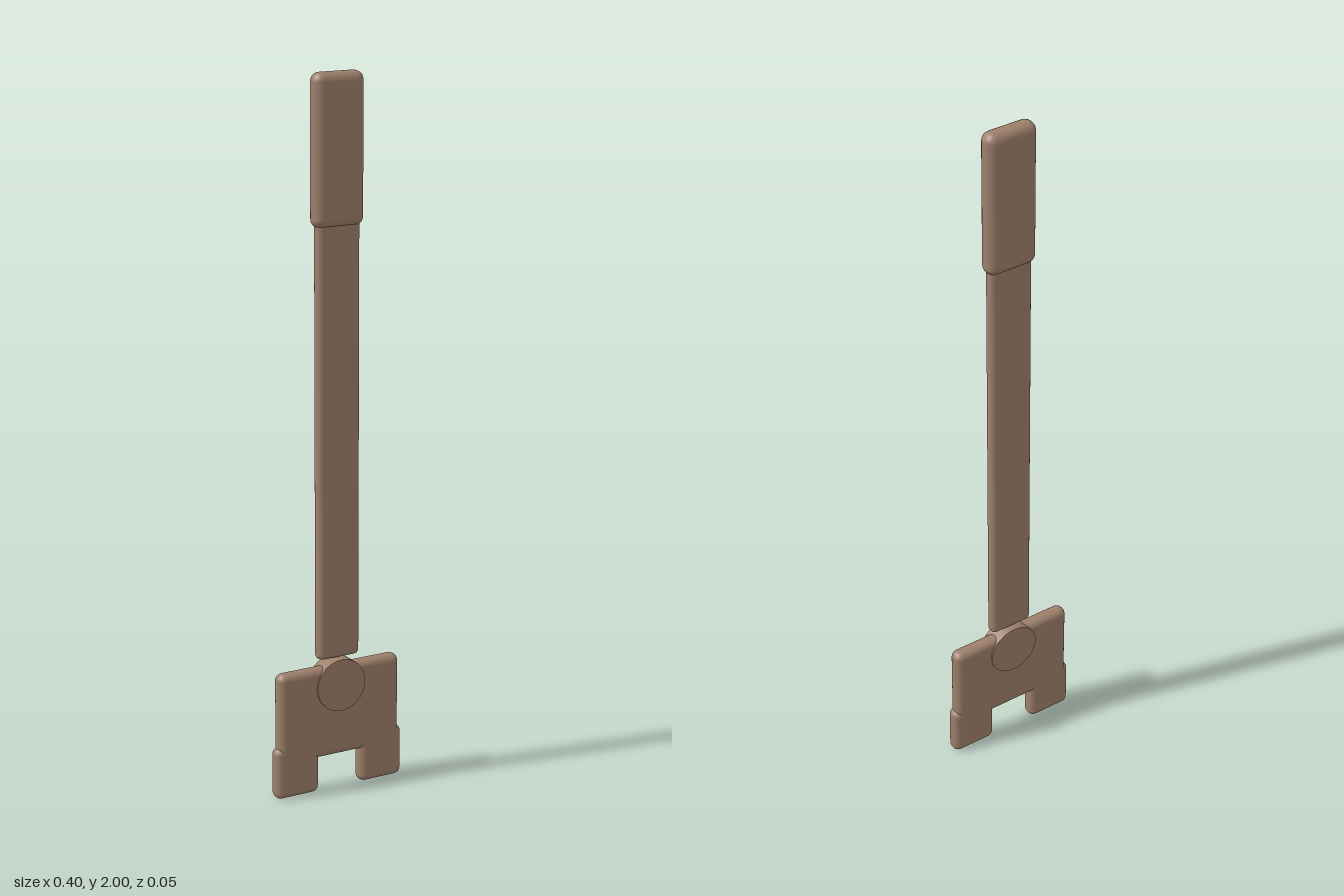
import * as THREE from 'three';
import { RoundedBoxGeometry } from 'three/addons/geometries/RoundedBoxGeometry.js';

export function createModel() {
  const group = new THREE.Group();
  const wood = new THREE.MeshStandardMaterial({ color: 0x9e806b });
  wood.name = 'brown';

  function add(name, geometry, x, y) {
    const mesh = new THREE.Mesh(geometry, wood);
    mesh.name = name;
    mesh.position.set(x, y, 0);
    group.add(mesh);
    return mesh;
  }

  // Soft-edged bar given by its width, depth, bottom and top
  function bar(name, x, width, depth, bottom, top, radius) {
    const geometry = new RoundedBoxGeometry(width, top - bottom, depth, 3, radius);
    return add(name, geometry, x, (bottom + top) / 2);
  }

  // Long handle with a thicker grip at the top
  bar('grip', 0, 0.15, 0.055, 1.59, 2.0, 0.025);
  bar('shaft', 0, 0.13, 0.036, 0.385, 1.63, 0.016);

  // Flat head with two feet
  bar('headPlate', 0, 0.38, 0.046, 0.1, 0.365, 0.021);
  for (const side of [1, -1]) {
    bar(side > 0 ? 'leftFoot' : 'rightFoot', side * 0.1325, 0.135, 0.045, 0, 0.15, 0.02);
  }

  // Round pivot joining head and handle
  const pivot = new THREE.CylinderGeometry(0.075, 0.075, 0.055, 40).rotateX(Math.PI / 2);
  add('pivotDisc', pivot, 0, 0.308);

  return group;
}
